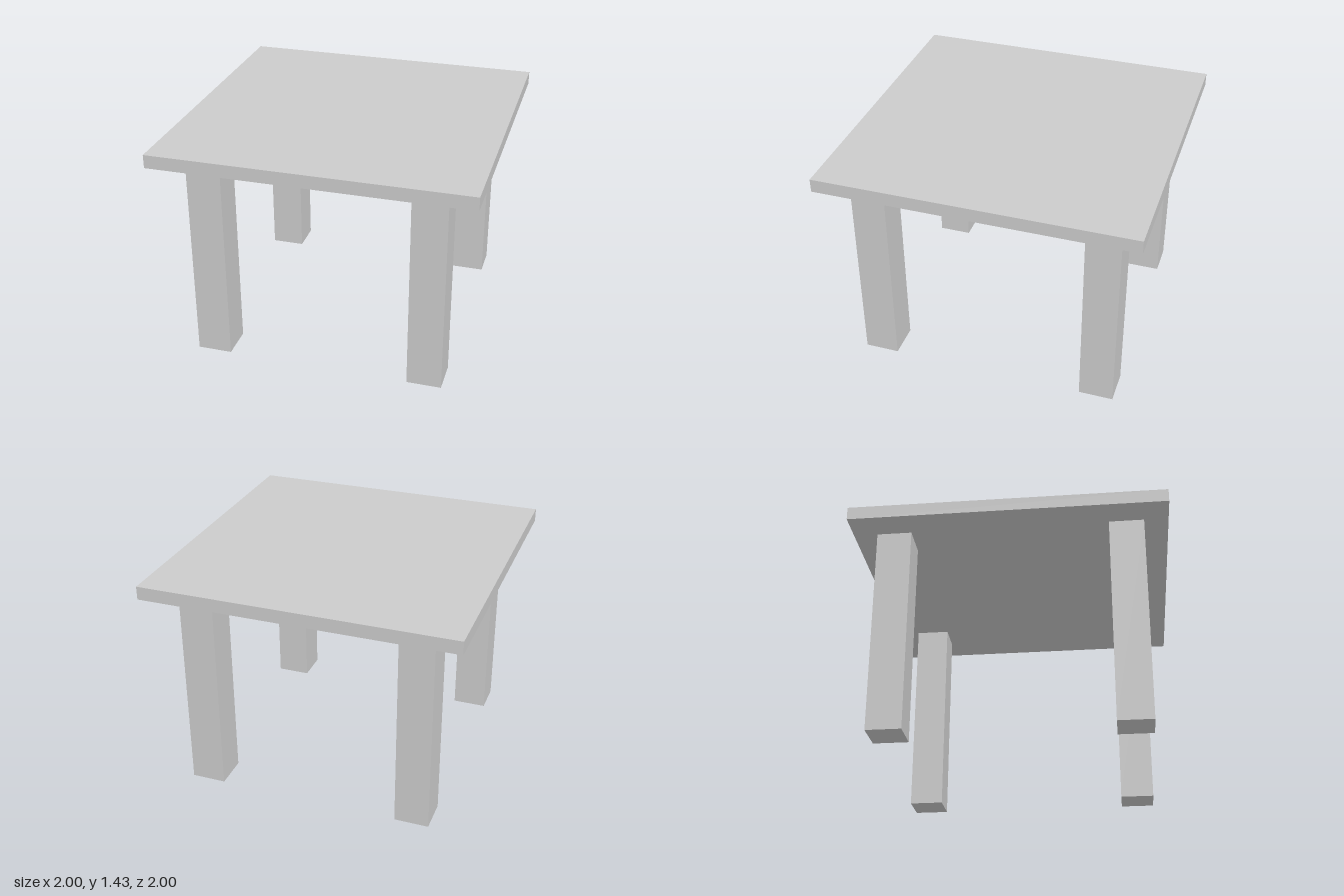
import * as THREE from 'three';

const TOP = 1.43, THICK = 0.085, LEG = 0.22;
const LEG_X = 0.697, LEG_Z = 0.738;

export function createModel() {
  const table = new THREE.Group();
  table.name = 'table';
  const material = new THREE.MeshStandardMaterial({ color: 0xcccccc, flatShading: true });

  const addBox = (name, w, h, d, x, y, z) => {
    const mesh = new THREE.Mesh(new THREE.BoxGeometry(w, h, d), material);
    mesh.name = name;
    mesh.position.set(x, y, z);
    table.add(mesh);
  };

  // Square slab
  addBox('tableTop', 2, THICK, 2, 0, TOP - THICK / 2, 0);

  // Four square legs, from the floor to the underside of the slab
  const legHeight = TOP - THICK;
  for (const [zName, sz] of [['front', 1], ['back', -1]]) {
    for (const [xName, sx] of [['Left', 1], ['Right', -1]]) {
      addBox(`${zName}${xName}Leg`, LEG, legHeight, LEG, sx * LEG_X, legHeight / 2, sz * LEG_Z);
    }
  }
  return table;
}
